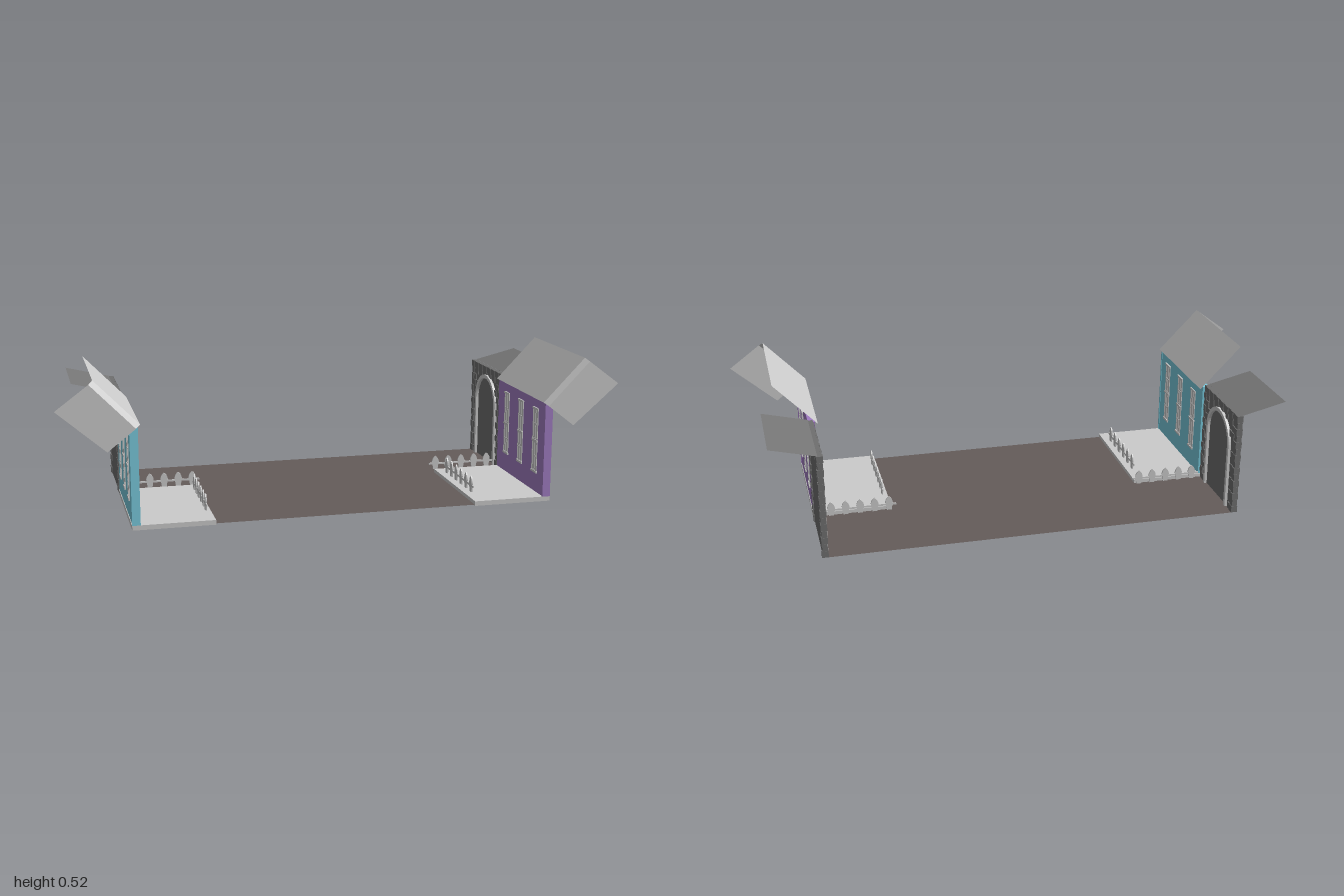
import * as THREE from 'three';

const mat = (color, side = THREE.FrontSide) => new THREE.MeshStandardMaterial({ color, side, flatShading: true });
const grey = mat(0xcccccc);
const greyThin = mat(0xcccccc, THREE.DoubleSide);
const stone = mat(0x707070);
const slate = mat(0x777777, THREE.DoubleSide);
const asphalt = mat(0x655c5a, THREE.DoubleSide);

// Box given by its min and max corners
function box(parent, name, material, x0, x1, y0, y1, z0, z1) {
  const m = new THREE.Mesh(new THREE.BoxGeometry(Math.abs(x1 - x0), y1 - y0, z1 - z0), material);
  m.position.set((x0 + x1) / 2, (y0 + y1) / 2, (z0 + z1) / 2);
  m.name = name;
  parent.add(m);
  return m;
}

// Flat four-cornered panel
function quad(parent, name, material, a, b, c, d) {
  const g = new THREE.BufferGeometry();
  g.setAttribute('position', new THREE.Float32BufferAttribute([...a, ...b, ...c, ...a, ...c, ...d], 3));
  g.computeVertexNormals();
  const m = new THREE.Mesh(g, material);
  m.name = name;
  parent.add(m);
}

// Pointed fence picket
function picketGeometry() {
  const s = new THREE.Shape();
  s.moveTo(-0.009, 0);
  s.lineTo(0.009, 0);
  s.lineTo(0.014, 0.03);
  s.quadraticCurveTo(0.012, 0.045, 0, 0.053);
  s.quadraticCurveTo(-0.012, 0.045, -0.014, 0.03);
  const g = new THREE.ExtrudeGeometry(s, { depth: 0.005, bevelEnabled: false, curveSegments: 4 });
  g.translate(0, 0, -0.0025);
  return g;
}
const picket = picketGeometry();

// Row of pickets on a rail, running along local x
function fence(name, count, spacing) {
  const f = new THREE.Group();
  f.name = name;
  for (let i = 0; i < count; i++) {
    const m = new THREE.Mesh(picket, grey);
    m.name = 'picket';
    m.position.x = (i - (count - 1) / 2) * spacing;
    f.add(m);
  }
  const half = count * spacing / 2;
  box(f, 'fenceRail', grey, -half, half, 0.018, 0.025, -0.002, 0.002);
  return f;
}

// Two-storey window column showing on both wall faces
function windowColumn(parent, s, z) {
  const w = new THREE.Group();
  w.name = 'windowColumn';
  const layer = (name, out, y0, y1, z0, z1) =>
    box(w, name, grey, s * (0.73 - out), s * (0.755 + out), y0, y1, z + z0, z + z1);
  for (const [y0, y1] of [[0.094, 0.204], [0.212, 0.326]]) {
    const mid = (y0 + y1) / 2;
    layer('windowPane', 0.001, y0, y1, -0.021, 0.021);
    for (const c of [-0.02, 0, 0.02]) layer('windowUpright', 0.003, y0, y1, c - 0.0025, c + 0.0025);
    for (const y of [y0 + 0.002, mid, y1 - 0.002]) layer('windowBar', 0.0028, y - 0.002, y + 0.002, -0.022, 0.022);
  }
  for (const y of [0.092, 0.208, 0.327]) layer('windowSill', 0.005, y - 0.004, y + 0.004, -0.025, 0.025);
  parent.add(w);
}

// Stone blocks along both edges and the top of the tower
function quoins(parent, s) {
  const rows = 15, cols = 14, h = 0.38 / rows, d = 0.325 / cols;
  for (let r = 0; r < rows; r++) {
    for (let c = 0; c < cols; c++) {
      const edge = Math.min(c, cols - 1 - c);
      const sideBlock = edge === 0 || (edge === 1 && r % 2 === 0);
      const topBlock = r === rows - 1 || (r === rows - 2 && c % 2 === 0);
      const corner = r === rows - 4 && edge <= 2;
      if (!sideBlock && !topBlock && !corner) continue;
      const out = (r + c) % 2 ? 0.002 : 0.004;
      box(parent, 'stoneBlock', stone, s * (0.74 - out), s * (0.755 + out),
        0.004 + r * h, 0.003 + (r + 1) * h, -0.4 + c * d, -0.401 + (c + 1) * d);
    }
  }
}

// Raised surround of the arched door, on the street face
function archSurround(s) {
  const outline = (p, r, reverse) => {
    if (!reverse) {
      p.moveTo(r, 0);
      p.lineTo(r, 0.24);
      p.absarc(0, 0.24, r, 0, Math.PI, false);
      p.lineTo(-r, 0);
    } else {
      p.lineTo(-r, 0);
      p.lineTo(-r, 0.24);
      p.absarc(0, 0.24, r, Math.PI, 0, true);
      p.lineTo(r, 0);
    }
  };
  const shape = new THREE.Shape();
  outline(shape, 0.11, false);
  outline(shape, 0.096, true);
  const g = new THREE.ExtrudeGeometry(shape, { depth: 0.012, bevelEnabled: false, curveSegments: 16 });
  g.translate(0, 0, -0.006);
  g.rotateY(Math.PI / 2);
  const m = new THREE.Mesh(g, grey);
  m.name = 'archSurround';
  m.position.set(s * 0.738, 0, -0.235);
  return m;
}

// One side of the street: patio, house, tower and fences
function streetSide(s, wallColor, name) {
  const side = new THREE.Group();
  side.name = name;

  box(side, 'patio', grey, s * 0.47, s * 0.757, 0, 0.017, -0.078, 0.386);
  const wall = mat(wallColor);
  box(side, 'houseWall', wall, s * 0.73, s * 0.755, 0.017, 0.375, -0.075, 0.38);
  box(side, 'cornerPost', wall, s * 0.728, s * 0.757, 0.017, 0.37, 0.378, 0.387);
  for (const z of [0.299, 0.158, 0.017]) windowColumn(side, s, z);

  // House roof, its bevelled front edge and the end panel
  const eave = [s * 0.72, 0.367], ridge = [s * 0.872, 0.524];
  const eaveTrim = [s * 0.735, 0.356], ridgeTrim = [s * 0.886, 0.512];
  quad(side, 'houseRoof', greyThin, [...eave, -0.075], [...eave, 0.387], [...ridge, 0.387], [...ridge, -0.075]);
  quad(side, 'roofTrim', greyThin, [...eave, 0.387], [...eaveTrim, 0.4], [...ridgeTrim, 0.4], [...ridge, 0.387]);
  quad(side, 'roofEndPanel', greyThin, [...eaveTrim, 0.4], [s * 0.832, 0.281, 0.4], [s, 0.427, 0.4], [...ridgeTrim, 0.4]);

  // Stone tower with arched door
  const tower = new THREE.Group();
  tower.name = 'stoneTower';
  box(tower, 'towerWall', stone, s * 0.742, s * 0.755, 0.004, 0.383, -0.399, -0.076);
  quoins(tower, s);
  tower.add(archSurround(s));
  quad(tower, 'towerRoof', slate, [s * 0.755, 0.385, -0.4], [s * 0.755, 0.385, -0.075],
    [s * 0.917, 0.424, -0.075], [s * 0.917, 0.424, -0.4]);
  side.add(tower);

  // Fences at the back and street edges of the patio
  const back = fence('backFence', 5, 0.053);
  back.position.set(s * 0.587, 0.012, -0.098);
  const street = fence('streetFence', 6, 0.054);
  street.rotation.y = Math.PI / 2;
  street.position.set(s * 0.49, 0.025, 0.15);
  street.scale.y = 1.12;
  side.add(back, street);
  return side;
}

export function createModel() {
  const model = new THREE.Group();
  model.name = 'streetScene';
  // Road, under the whole scene
  quad(model, 'road', asphalt, [-0.755, 0.004, -0.4], [-0.755, 0.004, 0.383], [0.755, 0.004, 0.383], [0.755, 0.004, -0.4]);
  model.add(streetSide(1, 0xa17dc3, 'leftSide'), streetSide(-1, 0x7accdf, 'rightSide'));
  return model;
}
